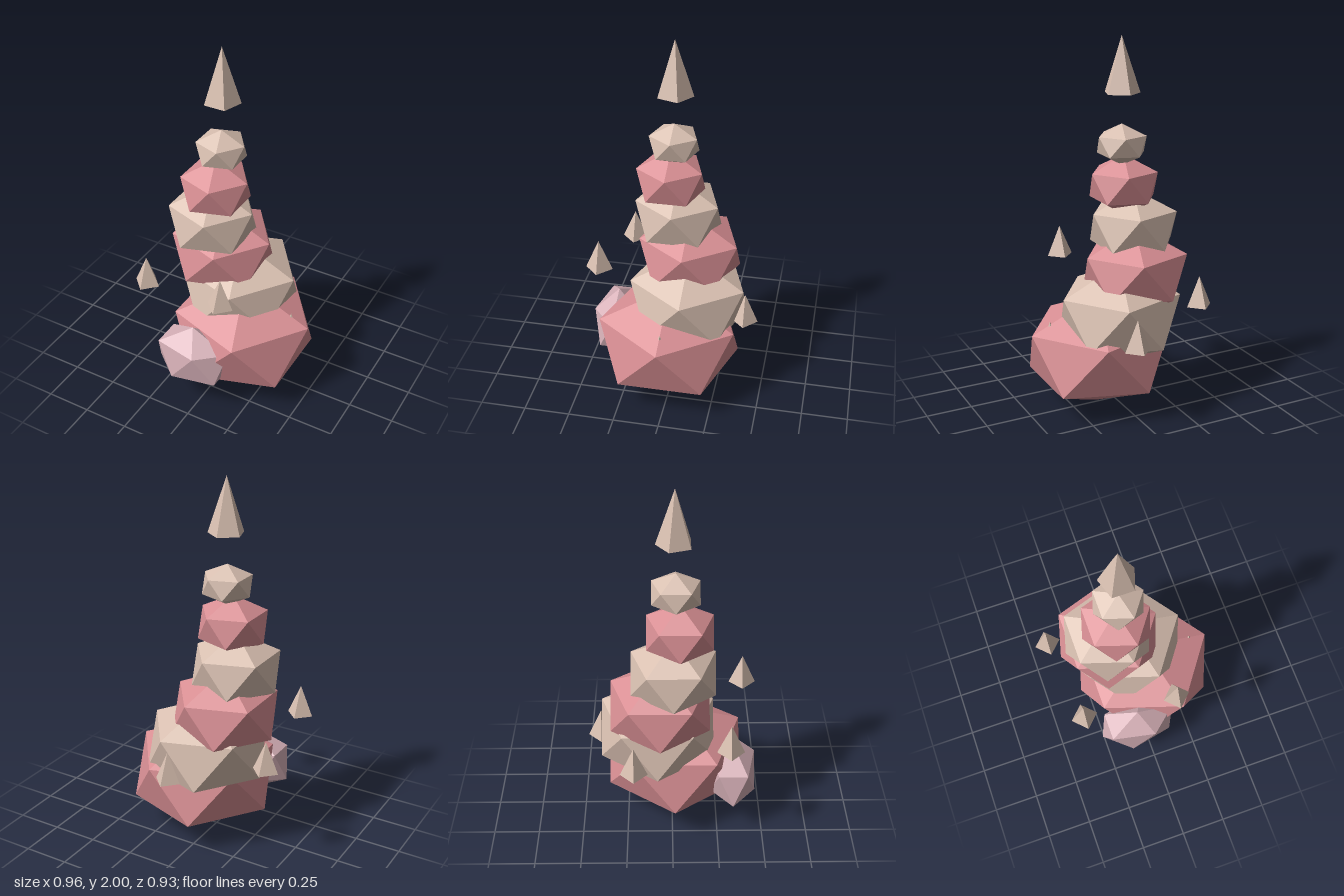
import * as THREE from 'three';

export function createModel() {
  const group = new THREE.Group();
  const mat = (name, color) => {
    const m = new THREE.MeshStandardMaterial({ color });
    m.name = name;
    return m;
  };
  const rose = mat('rose', 0xd98f94);
  const sand = mat('sand', 0xd9c0b1);
  const lilac = mat('lilac', 0xd6b0b7);

  const add = (name, geo, material, x, y, z) => {
    const faceted = geo.index ? geo.toNonIndexed() : geo;
    faceted.computeVertexNormals();
    const mesh = new THREE.Mesh(faceted, material);
    mesh.name = name;
    mesh.position.set(x, y, z);
    group.add(mesh);
  };

  // Squashed icosahedron standing on a vertex, upper ring pointing to +x
  const rock = (name, material, [x, y, z], [rx, ry, rz]) => {
    const geo = new THREE.IcosahedronGeometry(1, 0);
    geo.rotateX(-Math.atan((1 + Math.sqrt(5)) / 2));
    geo.rotateY(Math.PI / 2);
    geo.scale(rx, ry, rz);
    add(name, geo, material, x, y, z);
  };

  // Stacked tiers: centre x, y, z, horizontal radius, vertical radius
  const tiers = [
    [0.09, 0.315, 0.015, 0.433, 0.312],
    [0.01, 0.543, -0.08, 0.363, 0.272],
    [-0.09, 0.762, -0.065, 0.312, 0.234],
    [-0.115, 0.987, 0.005, 0.262, 0.203],
    [-0.075, 1.213, 0.04, 0.205, 0.163],
    [-0.053, 1.435, 0.018, 0.147, 0.11],
  ];
  tiers.forEach(([x, y, z, r, h], i) =>
    rock('tier' + (i + 1), i % 2 ? sand : rose, [x, y, z], [r, h, r]));

  // Boulder leaning on the front of the base
  rock('sideBoulder', lilac, [-0.055, 0.285, 0.335], [0.24, 0.195, 0.15]);

  // Floating five-sided tip
  const tip = new THREE.ConeGeometry(0.098, 0.295, 5);
  tip.rotateY(Math.PI);
  add('tip', tip, sand, -0.05, 1.8525, 0.013);

  // Four-sided shards spiralling upward around the stack
  const shards = [[0.374, 0.014], [0.064, -0.394], [-0.411, -0.204], [-0.355, 0.304], [0.147, 0.388]];
  shards.forEach(([x, z], i) =>
    add('shard' + (i + 1), new THREE.ConeGeometry(0.073, 0.168, 4), sand, x, 0.435 + i * 0.1, z));

  return group;
}
